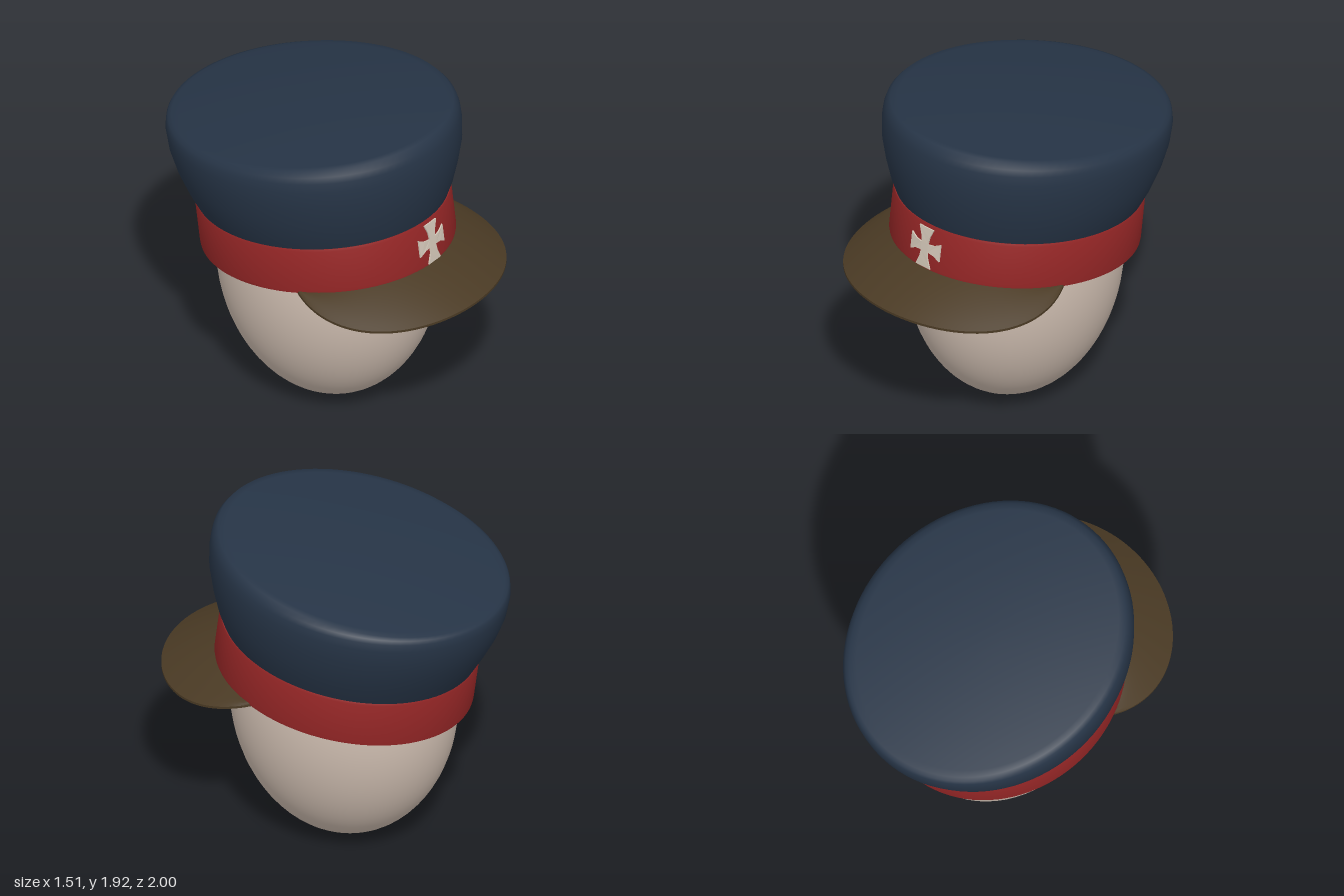
import * as THREE from 'three';
import { toCreasedNormals } from 'three/addons/utils/BufferGeometryUtils.js';

const TILT = 0.14; // the cap leans back
const SEGMENTS = 96;

// Skin a list of closed point loops with quads.
function loft(rows, crease = 0.7) {
  const n = rows[0].length;
  const index = [];
  for (let i = 0; i < rows.length - 1; i++) {
    for (let j = 0; j < n; j++) {
      const k = (j + 1) % n;
      const a = i * n + j, b = i * n + k, c = b + n, d = a + n;
      index.push(a, b, c, a, c, d);
    }
  }
  const geometry = new THREE.BufferGeometry().setFromPoints(rows.flat());
  geometry.setIndex(index);
  return toCreasedNormals(geometry, crease);
}

// Tilted ellipse through a front and a back point, with half-width rx.
function ring([zf, yf, zb, yb, rx], scale = 1, lift = 0) {
  const zc = (zf + zb) / 2, yc = (yf + yb) / 2;
  return Array.from({ length: SEGMENTS }, (_, j) => {
    const t = (j / SEGMENTS) * Math.PI * 2;
    const c = Math.cos(t) * scale;
    return new THREE.Vector3(
      Math.sin(t) * rx * scale, yc + (yf - yc) * c + lift, zc + (zf - zc) * c);
  });
}

function crownGeometry() {
  // front z, front y, back z, back y, half-width
  const profile = [
    [0.64, 1.36, -0.81, 1.16, 0.650],
    [0.665, 1.44, -0.87, 1.26, 0.690],
    [0.69, 1.56, -0.935, 1.38, 0.727],
    [0.71, 1.69, -0.98, 1.49, 0.750],
    [0.708, 1.79, -1.0, 1.59, 0.757],
    [0.70, 1.85, -0.998, 1.63, 0.750],
    [0.688, 1.89, -0.99, 1.648, 0.738],
    [0.66, 1.925, -0.97, 1.656, 0.715],
  ];
  const rows = profile.map((p) => ring(p));
  const rim = profile[profile.length - 1];
  // gently domed top
  for (const s of [0.95, 0.85, 0.7, 0.5, 0.3, 0.12, 0]) {
    rows.push(ring(rim, s, 0.05 * (1 - s * s)));
  }
  return loft(rows, 1.0);
}

function bandGeometry() {
  const profile = [
    [0.62, 1.36, -0.79, 1.16, 0.63],
    [0.655, 1.095, -0.75, 0.89, 0.63],
    [0.67, 1.085, -0.768, 0.88, 0.645],
    [0.685, 1.093, -0.78, 0.885, 0.657],
    [0.687, 1.11, -0.783, 0.9, 0.66],
    [0.655, 1.355, -0.818, 1.155, 0.66],
    [0.65, 1.37, -0.815, 1.167, 0.655],
    [0.62, 1.36, -0.79, 1.16, 0.63],
  ];
  return loft(profile.map((p) => ring(p)), 0.9);
}

function visorGeometry() {
  const rows = [];
  const SPAN = 72, STEPS = 8, THICK = 0.014;
  for (let i = 0; i <= SPAN; i++) {
    const u = (i / SPAN) * 2 - 1;
    const inner = u * 1.23, outer = u * 1.986;
    // inner edge follows the band, outer edge sweeps forward and droops
    const zi = -0.045 + 0.72 * Math.cos(inner);
    const a = new THREE.Vector3(
      0.645 * Math.sin(inner), 1.0 + TILT * (zi + 0.045), zi);
    const zo = 0.43 + 0.57 * Math.cos(outer);
    const b = new THREE.Vector3(
      0.665 * Math.sin(outer), 0.955 + 0.264 * (zo - 0.75) ** 2, zo);
    const top = [], under = [];
    for (let s = 0; s <= STEPS; s++) {
      const t = s / STEPS;
      const p = a.clone().lerp(b, t);
      p.y += 0.03 * t * (1 - t);
      top.push(p);
      under.unshift(p.clone().setY(p.y - THICK));
    }
    rows.push([...top, ...under]);
  }
  return loft(rows);
}

// Flared cross bent around the front of the band.
function badgeGeometry() {
  const shape = new THREE.Shape();
  const center = new THREE.Vector2();
  for (let k = 0; k < 4; k++) {
    const reach = k % 2 ? 0.108 : 0.121;
    const arm = [[0.024, 0.024], [0.03, 0.065], [0.053, reach],
      [-0.053, reach], [-0.03, 0.065], [-0.024, 0.024]];
    arm.forEach(([x, y], m) => {
      const p = new THREE.Vector2(x, y).rotateAround(center, k * Math.PI / 2);
      if (k === 0 && m === 0) shape.moveTo(p.x, p.y);
      else shape.lineTo(p.x, p.y);
    });
  }
  const geometry = new THREE.ExtrudeGeometry(shape, { depth: 0.009, bevelEnabled: false });
  const pos = geometry.attributes.position;
  for (let i = 0; i < pos.count; i++) {
    const x = pos.getX(i);
    pos.setZ(i, pos.getZ(i) - 0.74 * (1 - Math.sqrt(1 - (x / 0.66) ** 2)));
  }
  geometry.computeVertexNormals();
  return geometry;
}

export function createModel() {
  const material = (name, color, side = THREE.FrontSide) => {
    const m = new THREE.MeshStandardMaterial({ color, side });
    m.name = name;
    return m;
  };
  const navy = material('navy cloth', 0x263446, THREE.DoubleSide);
  const red = material('red band', 0x952626);
  const brown = material('brown leather', 0x4a3a24, THREE.DoubleSide);
  const stone = material('pale head', 0xcdbcaf);
  const silver = material('pale metal', 0xd2c6b7);

  const model = new THREE.Group();
  model.name = 'cap on display head';
  const add = (name, geometry, mat) => {
    const mesh = new THREE.Mesh(geometry, mat);
    mesh.name = name;
    model.add(mesh);
    return mesh;
  };

  // egg-shaped stand
  const head = add('displayHead', new THREE.SphereGeometry(1, 64, 40), stone);
  head.scale.set(0.56, 0.85, 0.655);
  head.position.set(0, 0.85, -0.045);

  add('crown', crownGeometry(), navy);
  add('band', bandGeometry(), red);
  add('visor', visorGeometry(), brown);

  const badge = add('badge', badgeGeometry(), silver);
  badge.position.set(0, 1.23, 0.674);
  badge.rotation.x = -TILT;

  return model;
}
